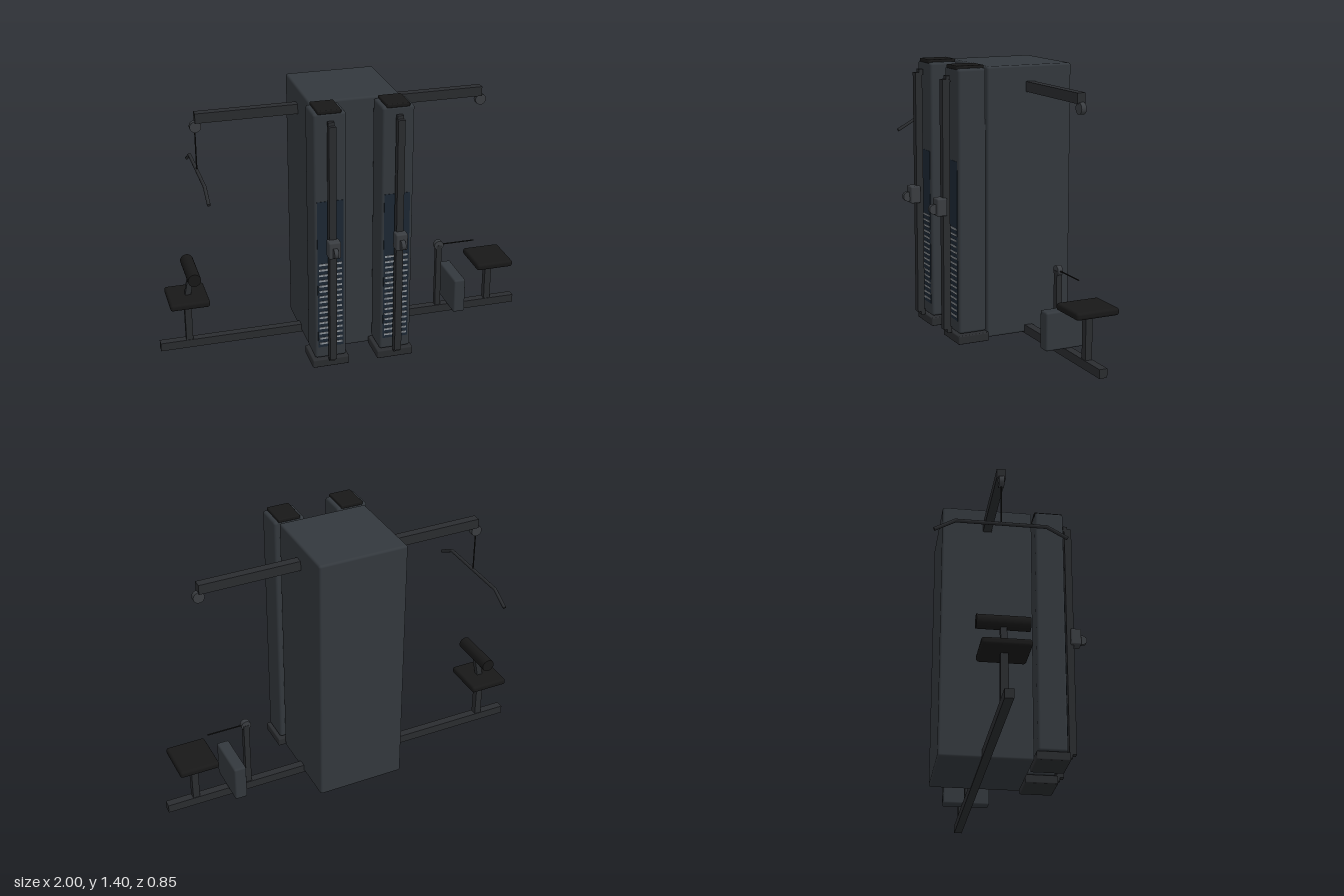
import * as THREE from 'three';
import { RoundedBoxGeometry } from 'three/addons/geometries/RoundedBoxGeometry.js';

const mat = (color) => new THREE.MeshStandardMaterial({ color });
const Z = -0.1; // centre line of the cross beams

export function createModel() {
  const root = new THREE.Group();
  const cabinetMat = mat(0x33383d), frameMat = mat(0x2a2c2f), padMat = mat(0x181818);
  const steelMat = mat(0x8f959b), panelMat = mat(0x1c2733), pulleyMat = mat(0x3a3d41);

  const add = (parent, name, geo, material, x, y, z) => {
    const m = new THREE.Mesh(geo, material);
    m.name = name;
    m.position.set(x, y, z);
    parent.add(m);
    return m;
  };
  // box given by its lower and upper corners, rounded when r > 0
  const box = (parent, name, material, [x0, y0, z0], [x1, y1, z1], r = 0) => {
    const s = [x1 - x0, y1 - y0, z1 - z0];
    const geo = r ? new RoundedBoxGeometry(...s, 3, r) : new THREE.BoxGeometry(...s);
    return add(parent, name, geo, material, (x0 + x1) / 2, (y0 + y1) / 2, (z0 + z1) / 2);
  };
  // round bar between two points
  const rod = (parent, name, material, a, b, r, sides = 16) => {
    const p = new THREE.Vector3(...a), q = new THREE.Vector3(...b);
    const d = q.clone().sub(p);
    const mid = p.clone().add(q).multiplyScalar(0.5);
    const m = add(parent, name, new THREE.CylinderGeometry(r, r, d.length(), sides), material, mid.x, mid.y, mid.z);
    m.quaternion.setFromUnitVectors(new THREE.Vector3(0, 1, 0), d.normalize());
    return m;
  };
  const group = (name) => {
    const g = new THREE.Group();
    g.name = name;
    root.add(g);
    return g;
  };

  // central cabinet and cross beams
  box(root, 'cabinet', cabinetMat, [-0.235, 0.005, -0.335], [0.235, 1.39, 0.135], 0.012);
  box(root, 'baseBeam', frameMat, [-1, 0, Z - 0.021], [1, 0.045, Z + 0.021]);
  box(root, 'topBeam', frameMat, [-0.757, 1.257, Z - 0.022], [0.757, 1.308, Z + 0.022]);

  for (const s of [-1, 1]) {
    rod(root, 'topPulley', pulleyMat, [s * 0.755, 1.235, Z - 0.013], [s * 0.755, 1.235, Z + 0.013], 0.029, 24);

    // weight tower
    const t = group('weightTower');
    t.position.x = s * 0.173;
    box(t, 'towerBase', frameMat, [-0.097, 0, 0.14], [0.097, 0.045, 0.31], 0.006);
    box(t, 'towerBody', cabinetMat, [-0.083, 0.05, 0.15], [0.083, 1.387, 0.3], 0.014);
    box(t, 'towerCap', padMat, [-0.06, 1.38, 0.15], [0.06, 1.4, 0.3], 0.006);
    box(t, 'windowPanel', panelMat, [-0.067, 0.115, 0.29], [0.067, 0.93, 0.302]);
    for (let i = 0; i < 16; i++) {
      const y = 0.137 + i * 0.03;
      box(t, 'weightPlate', steelMat, [-0.06, y - 0.005, 0.29], [0.06, y + 0.005, 0.305]);
    }

    // guide rail with sliding pulley carriage
    box(t, 'guideRail', frameMat, [-0.018, 0.063, 0.318], [0.018, 1.333, 0.355]);
    for (const y of [0.045, 1.32])
      box(t, 'railBracket', frameMat, [-0.016, y, 0.312], [0.016, y + 0.03, 0.335]);
    box(t, 'carriage', pulleyMat, [-0.031, 0.655, 0.337], [0.031, 0.745, 0.392], 0.008);
    rod(t, 'carriagePulley', pulleyMat, [-0.011, 0.69, 0.4], [0.011, 0.69, 0.4], 0.025, 24);

    // seat on its post
    const seat = group('seat');
    seat.position.x = s * 0.844;
    box(seat, 'seatPost', frameMat, [-0.018, 0.04, Z - 0.018], [0.018, 0.28, Z + 0.018]);
    box(seat, 'seatPad', padMat, [-0.104, 0.275, Z - 0.115], [0.104, 0.312, Z + 0.115], 0.014);
  }

  // pulldown bar hanging from the beam on the model's right
  const bar = group('pulldownBar');
  rod(bar, 'pulldownCable', padMat, [-0.757, 0.995, Z], [-0.757, 1.235, Z], 0.0035, 8);
  const path = new THREE.CurvePath();
  const pts = [[0.945, -0.32], [1, -0.22], [1, 0.22], [0.945, 0.32]]
    .map(([y, z]) => new THREE.Vector3(-0.757, y, Z + z));
  for (let i = 0; i < 3; i++) {
    path.add(new THREE.LineCurve3(pts[i], pts[i + 1]));
    rod(bar, 'barSection', frameMat, pts[i].toArray(), pts[i + 1].toArray(), 0.009, 12);
  }
  for (const p of [pts[1], pts[2]])
    add(bar, 'barBend', new THREE.SphereGeometry(0.009, 12, 8), frameMat, p.x, p.y, p.z);

  // thigh roller above the right-hand seat
  const roller = group('thighRoller');
  const arm = box(roller, 'rollerArm', frameMat, [-0.015, -0.08, -0.015], [0.015, 0.08, 0.015]);
  arm.position.set(-0.829, 0.37, Z);
  arm.rotation.z = -0.19;
  rod(roller, 'rollerPad', padMat, [-0.818, 0.445, Z - 0.125], [-0.818, 0.445, Z + 0.125], 0.034, 24);

  // low row station on the model's left
  const row = group('lowRow');
  box(row, 'rowPost', frameMat, [0.535, 0.04, Z - 0.015], [0.565, 0.41, Z + 0.015]);
  rod(row, 'rowPulley', pulleyMat, [0.55, 0.41, Z - 0.013], [0.55, 0.41, Z + 0.013], 0.026, 24);
  rod(row, 'rowCable', padMat, [0.55, 0.411, Z], [0.755, 0.411, Z], 0.0035, 8);
  box(row, 'footPlate', cabinetMat, [0.603, 0.045, Z - 0.126], [0.669, 0.24, Z + 0.126], 0.01);

  return root;
}
